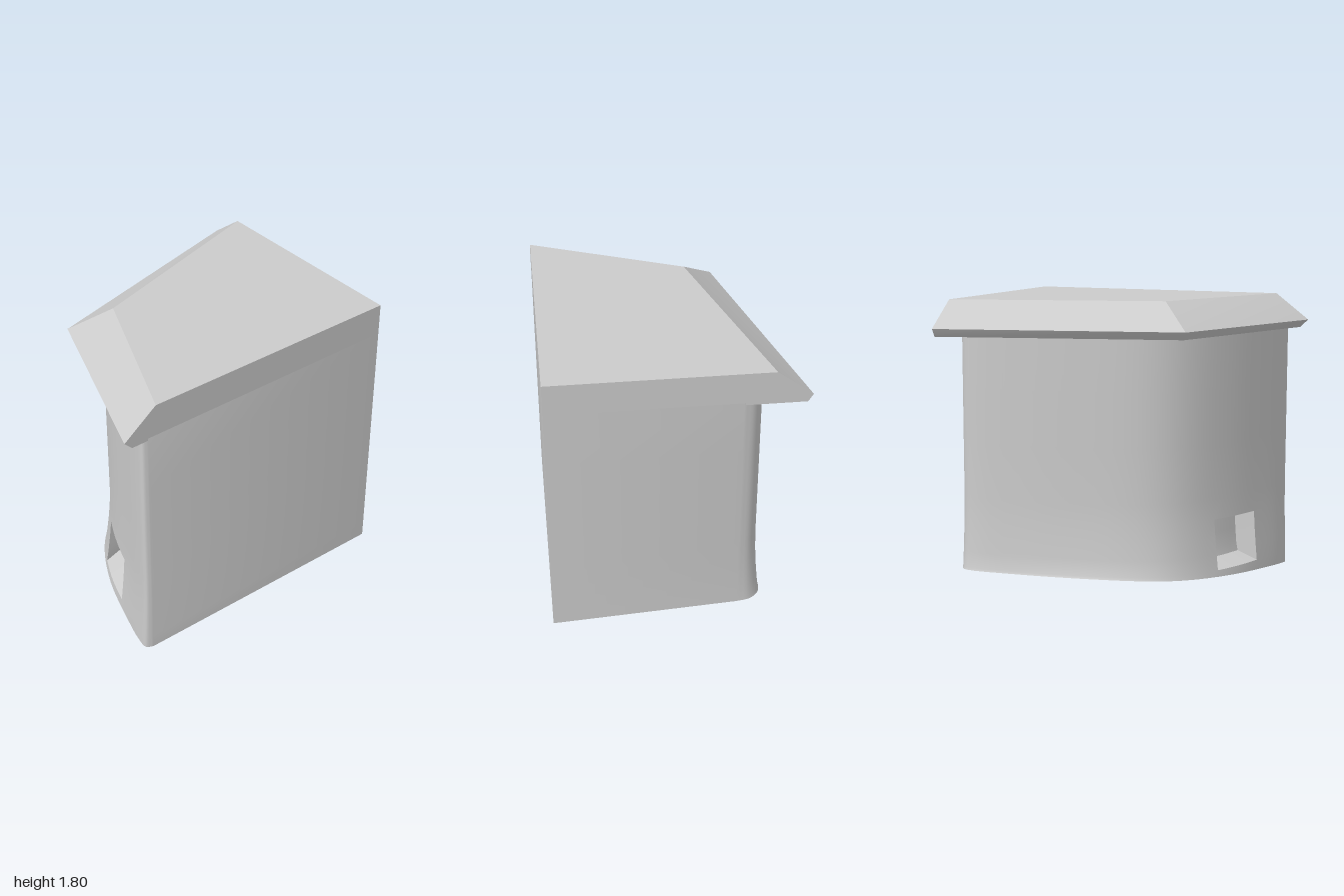
import * as THREE from 'three';
import { toCreasedNormals } from 'three/addons/utils/BufferGeometryUtils.js';

const V = (x, y, z) => new THREE.Vector3(x, y, z);
const material = new THREE.MeshStandardMaterial({ color: 0xcccccc, side: THREE.DoubleSide });

// Collects quads (corners counter-clockwise from outside) into one mesh.
function surface(name, crease, build) {
  const pos = [];
  const tri = (...p) => p.forEach((v) => pos.push(v.x, v.y, v.z));
  const quad = (a, b, c, d) => { tri(a, b, c); tri(a, c, d); };
  build(tri, quad);
  const g = new THREE.BufferGeometry();
  g.setAttribute('position', new THREE.Float32BufferAttribute(pos, 3));
  const mesh = new THREE.Mesh(toCreasedNormals(g, crease), material);
  mesh.name = name;
  return mesh;
}

// Curved back of the wall in plan, at the flared foot and higher up.
const footPlan = [[.62, -.61], [.585, -.69], [.51, -.735], [.2, -.64], [-.16, -.48], [-.5, -.28], [-.65, -.14],
  [-.75, .05], [-.82, .35], [-.835, .65], [-.832, .88], [-.815, .95], [-.77, .961]];
const wallPlan = [[.62, -.61], [.58, -.67], [.5, -.70], [.19, -.60], [-.16, -.43], [-.47, -.24], [-.61, -.1],
  [-.70, .07], [-.77, .35], [-.80, .65], [-.81, .88], [-.80, .95], [-.765, .96]];
const STEPS = 48;
const sample = (plan) => new THREE.CatmullRomCurve3(plan.map(([x, z]) => V(x, 0, z))).getPoints(STEPS);
const foot = sample(footPlan), upper = sample(wallPlan);
const corner = V(.92, 0, .52); // sharp front corner

// One closed wall outline; without a height it follows the sloping ground.
function wallRing(y) {
  const flare = y === null ? 1 : Math.pow(Math.max(0, (.55 - y) / .5), 1.5);
  const ring = [corner.clone(), ...upper.map((p, i) => p.clone().lerp(foot[i], Math.min(1, flare)))];
  ring.forEach((p) => { p.y = y ?? -.0237 * (p.x - .92) - .0588 * (p.z - .52); });
  return ring;
}

function createWalls() {
  const rings = [null, .1, .2, .3, .42, .55, .9, 1.25, 1.6].map(wallRing);
  const n = rings[0].length;
  // Opening, in ring columns and rows
  const c0 = 31, c1 = 36, r0 = 1, r1 = 4;
  const walls = surface('walls', .6, (tri, quad) => {
    for (let r = 0; r < rings.length - 1; r++) {
      for (let i = 0; i < n; i++) {
        if (r >= r0 && r < r1 && i >= c0 && i < c1) continue;
        const j = (i + 1) % n;
        quad(rings[r][i], rings[r][j], rings[r + 1][j], rings[r + 1][i]);
      }
    }
    // Floor
    for (let i = 1; i < n - 1; i++) tri(rings[0][0], rings[0][i + 1], rings[0][i]);
  });
  // Niche behind the opening, with a sloping sill
  const inner = (r, i) => rings[r][i].clone().add(V(.13, r === r0 ? .05 : 0, -.03));
  const niche = surface('niche', .6, (tri, quad) => {
    for (let i = c0; i < c1; i++) {
      quad(rings[r0][i], rings[r0][i + 1], inner(r0, i + 1), inner(r0, i));
      quad(inner(r1, i), inner(r1, i + 1), rings[r1][i + 1], rings[r1][i]);
      for (let r = r0; r < r1; r++) quad(inner(r, i), inner(r, i + 1), inner(r + 1, i + 1), inner(r + 1, i));
    }
    for (let r = r0; r < r1; r++) {
      quad(rings[r][c0], inner(r, c0), inner(r + 1, c0), rings[r + 1][c0]);
      quad(inner(r, c1), rings[r][c1], rings[r + 1][c1], inner(r + 1, c1));
    }
  });
  return [walls, niche];
}

// Flat roof with sloping eaves over the back and the curved side.
function createRoof() {
  const rings = [
    [1.585, [.92, .52], [.522, -.97], [-.785, -.2], [-.87, .987]],
    [1.635, [.92, .52], [.514, -1], [-.82, -.23], [-.92, 1]],
    [1.8, [.92, .52], [.57, -.79], [-.57, -.09], [-.71, .945]],
  ].map(([y, ...pts]) => pts.map(([x, z]) => V(x, y, z)));
  return surface('roof', .4, (tri, quad) => {
    for (let r = 0; r < 2; r++) {
      for (let i = 0; i < 4; i++) {
        const j = (i + 1) % 4;
        quad(rings[r][i], rings[r][j], rings[r + 1][j], rings[r + 1][i]);
      }
    }
    quad(...rings[2]);
    quad(...rings[0].slice().reverse());
  });
}

export function createModel() {
  const group = new THREE.Group();
  group.name = 'cornerBuilding';
  group.add(...createWalls(), createRoof());
  return group;
}
